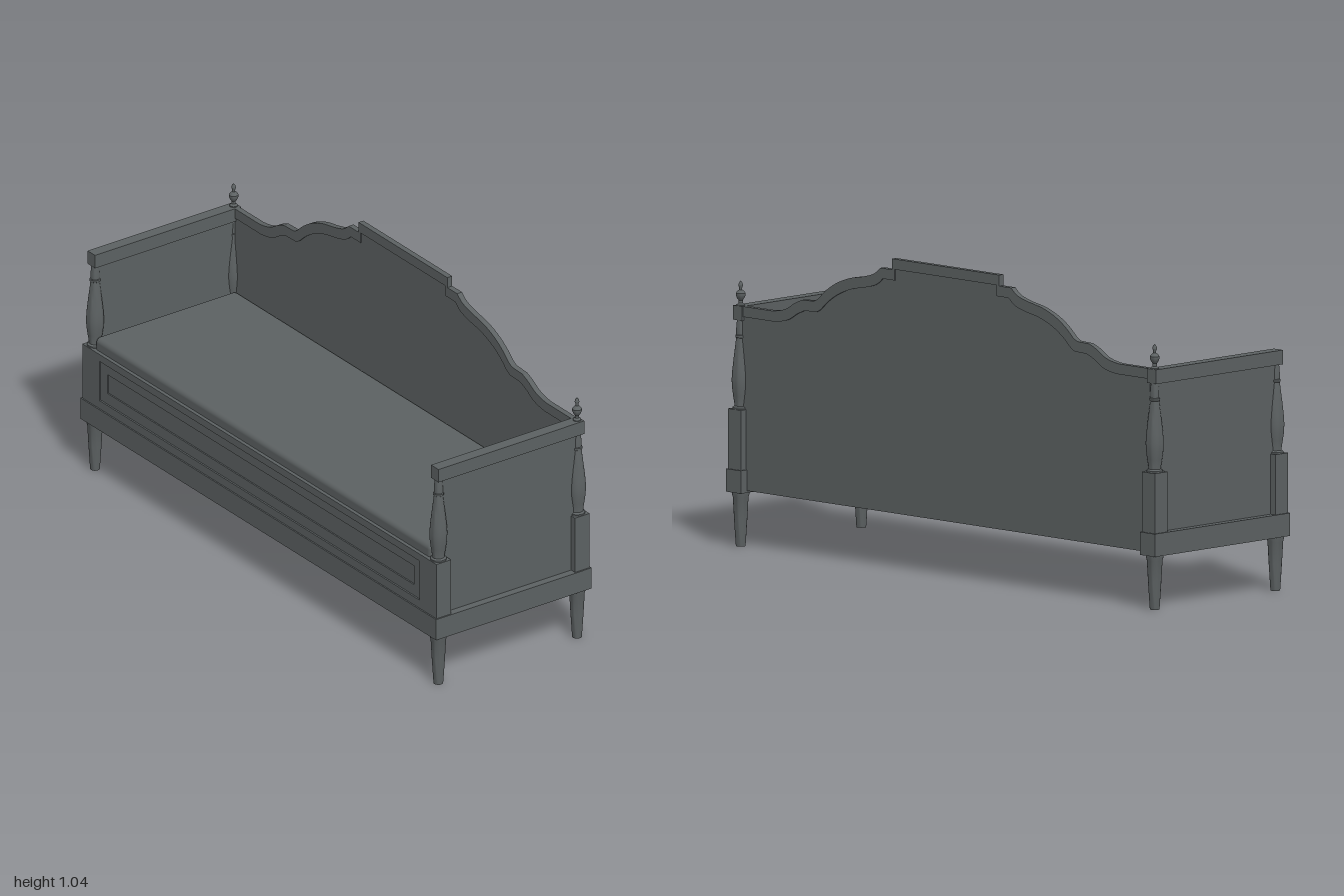
import * as THREE from 'three';
import { toCreasedNormals } from 'three/addons/utils/BufferGeometryUtils.js';
import { RoundedBoxGeometry } from 'three/addons/geometries/RoundedBoxGeometry.js';

const grey = new THREE.MeshStandardMaterial({ color: 0x5c6162 });
grey.name = 'charcoal grey';

const POST_X = 0.965, POST_Z = 0.285;

function add(group, name, geometry, x = 0, y = 0, z = 0) {
  const mesh = new THREE.Mesh(geometry, grey);
  mesh.name = name;
  mesh.position.set(x, y, z);
  group.add(mesh);
  return mesh;
}

// Box given by its lower and upper limits on each axis
function box(group, name, x0, x1, y0, y1, z0, z1) {
  return add(group, name, new THREE.BoxGeometry(x1 - x0, y1 - y0, z1 - z0),
    (x0 + x1) / 2, (y0 + y1) / 2, (z0 + z1) / 2);
}

function turned(points) {
  const profile = points.map(([r, y]) => new THREE.Vector2(r, y));
  return toCreasedNormals(new THREE.LatheGeometry(profile, 24), 0.6);
}

// Rectangular frame: outer half width and y limits, then the opening's
function frame(w, y0, y1, iw, iy0, iy1, depth) {
  const rect = (path, a, b, c) => path.moveTo(-a, b).lineTo(a, b).lineTo(a, c).lineTo(-a, c).closePath();
  const shape = rect(new THREE.Shape(), w, y0, y1);
  shape.holes.push(rect(new THREE.Path(), iw, iy0, iy1));
  return new THREE.ExtrudeGeometry(shape, { depth, bevelEnabled: false });
}

// Right half of the stepped and scrolled crest, from centre to post
function crestHalf() {
  const upper = new THREE.SplineCurve([
    [0.305, 1.008], [0.335, 0.985], [0.385, 0.97], [0.45, 0.957], [0.51, 0.934],
    [0.56, 0.903], [0.595, 0.872], [0.615, 0.862]].map(p => new THREE.Vector2(...p)));
  const lower = new THREE.SplineCurve([
    [0.67, 0.86], [0.705, 0.845], [0.74, 0.824], [0.775, 0.813], [0.81, 0.808]]
    .map(p => new THREE.Vector2(...p)));
  return [new THREE.Vector2(0.25, 1.045), new THREE.Vector2(0.25, 1.008),
    ...upper.getPoints(20), ...lower.getPoints(14), new THREE.Vector2(0.95, 0.808)];
}

function mirrored(half) {
  const left = half.map(p => new THREE.Vector2(-p.x, p.y)).reverse();
  return [...left, ...half];
}

function addBack(group) {
  const crest = crestHalf();
  const top = mirrored(crest);
  // Lower edge of the trim follows the crest, with the centre step drawn in
  const inner = mirrored(crest.map((p, i) =>
    new THREE.Vector2(i < 2 ? p.x - 0.012 : Math.max(p.x - 0.012 * (p.x < 0.9), 0), p.y - 0.035)));
  const extrude = (points, depth) => toCreasedNormals(
    new THREE.ExtrudeGeometry(new THREE.Shape(points), { depth, bevelEnabled: false }), 0.5);
  const panel = [new THREE.Vector2(-0.95, 0.19), new THREE.Vector2(0.95, 0.19),
    ...inner.map(p => p.clone().setY(p.y + 0.005)).reverse()];
  add(group, 'backPanel', extrude(panel, 0.012), 0, 0, -0.291);
  add(group, 'backCrestTrim', extrude([...inner, ...top.slice().reverse()], 0.02), 0, 0, -0.295);
}

function addCorner(group, sx, sz) {
  const corner = new THREE.Group();
  corner.name = (sz > 0 ? 'front' : 'back') + (sx > 0 ? 'Left' : 'Right') + 'Post';
  corner.position.set(sx * POST_X, 0, sz * POST_Z);
  group.add(corner);
  add(corner, 'leg', turned([
    [0, 0], [0.016, 0], [0.017, 0.012], [0.022, 0.09], [0.026, 0.165], [0.029, 0.175], [0.029, 0.19]]));
  box(corner, 'baseBlock', -0.035, 0.035, 0.183, 0.26, -0.035, 0.035);
  box(corner, 'squareBlock', -0.03, 0.03, 0.26, 0.462, -0.03, 0.03);
  add(corner, 'turnedPost', turned([
    [0.027, 0.46], [0.027, 0.467], [0.021, 0.472], [0.021, 0.48], [0.025, 0.505], [0.029, 0.535],
    [0.03, 0.56], [0.028, 0.59], [0.023, 0.635], [0.018, 0.675], [0.015, 0.7], [0.018, 0.702],
    [0.018, 0.709], [0.015, 0.711], [0.015, 0.73], [0.012, 0.765]]));
  if (sz < 0) {
    add(corner, 'finial', turned([
      [0.014, 0.805], [0.014, 0.811], [0.007, 0.817], [0.007, 0.826], [0.012, 0.833], [0.016, 0.842],
      [0.016, 0.85], [0.011, 0.857], [0.005, 0.861], [0.005, 0.868], [0.008, 0.876],
      [0.006, 0.884], [0, 0.892]]));
  }
}

function addArm(group, s) {
  const arm = new THREE.Group();
  arm.name = s > 0 ? 'leftArm' : 'rightArm';
  group.add(arm);
  const side = (name, x0, x1, ...rest) => box(arm, name, Math.min(s * x0, s * x1), Math.max(s * x0, s * x1), ...rest);
  side('armPanel', 0.955, 0.973, 0.2, 0.765, -0.285, 0.285);
  side('armTopRail', 0.944, 0.986, 0.76, 0.808, -0.3, 0.3);
  side('sideBaseRail', 0.965, 1, 0.183, 0.26, -0.32, 0.32);
}

export function createModel() {
  const group = new THREE.Group();
  group.name = 'daybed';

  // Posts, legs and arms
  for (const sx of [-1, 1]) {
    for (const sz of [-1, 1]) addCorner(group, sx, sz);
    addArm(group, sx);
  }
  addBack(group);

  // Base
  box(group, 'frontBaseRail', -1, 1, 0.183, 0.26, 0.295, 0.32);
  box(group, 'seatPlatform', -0.957, 0.957, 0.215, 0.462, -0.28, 0.3);

  // Front panel with stepped recesses
  add(group, 'frontFrame', frame(0.936, 0.26, 0.462, 0.9, 0.29, 0.436, 0.016), 0, 0, 0.299);
  add(group, 'frontInset', frame(0.9, 0.29, 0.436, 0.862, 0.33, 0.4, 0.01), 0, 0, 0.299);
  box(group, 'frontCentrePanel', -0.862, 0.862, 0.33, 0.4, 0.298, 0.304);

  // Mattress
  add(group, 'mattress', new RoundedBoxGeometry(1.89, 0.07, 0.58, 4, 0.018), 0, 0.47, 0.012);
  return group;
}
